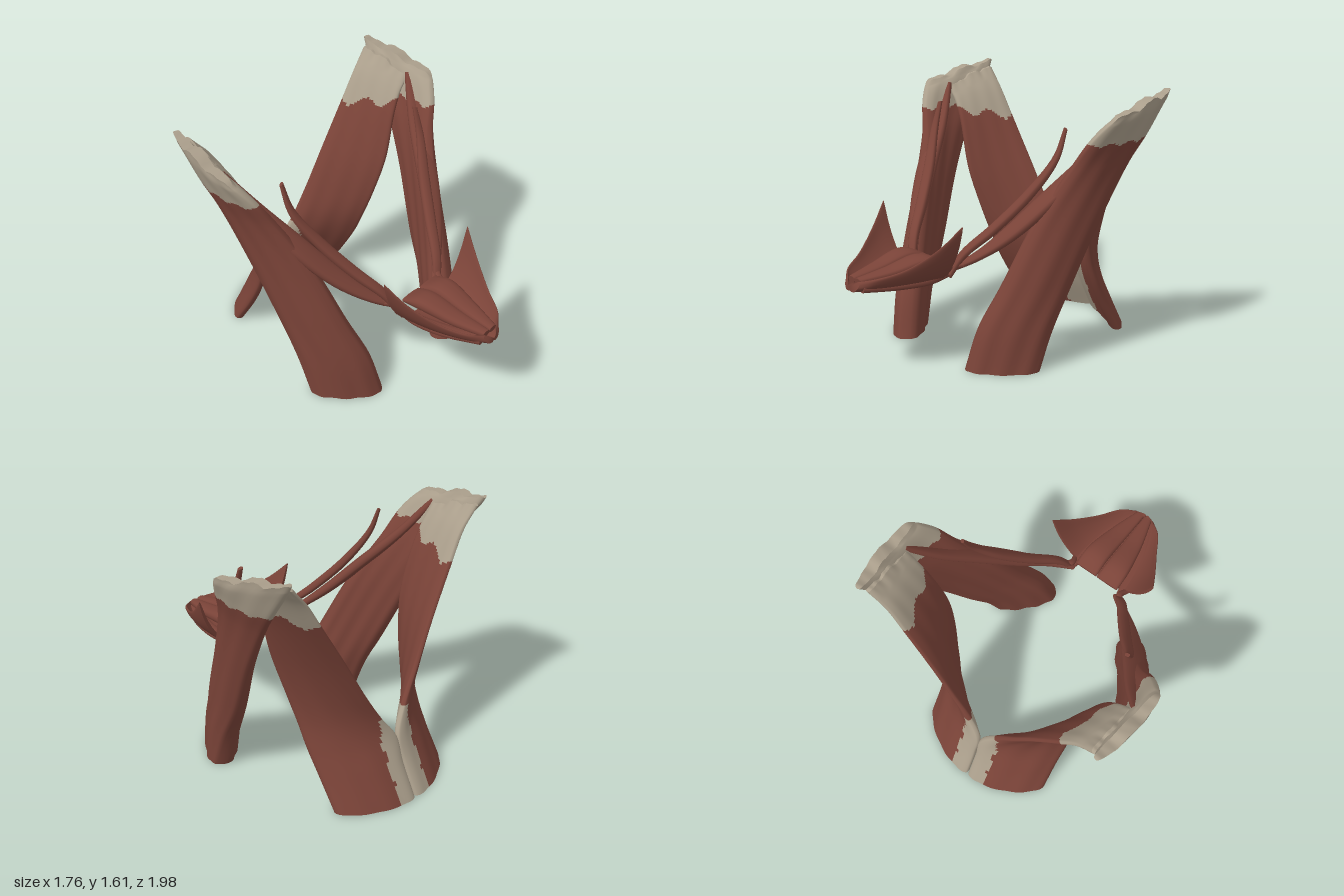
import * as THREE from 'three';

const muscle = new THREE.MeshStandardMaterial({ color: 0x7a4338 });
muscle.name = 'muscle red';
const tendon = new THREE.MeshStandardMaterial({ color: 0xaa9e8b });
tendon.name = 'tendon tan';
const materials = [muscle, tendon];
const UP = new THREE.Vector3(0, 1, 0);
const FORWARD = new THREE.Vector3(0, 0, 1);

// Lofts a flattened muscle through sections [edgeA, middle, edgeB, thickness].
function loft(sections, { axis = null, rows = 40, cols = 32, pick = () => 0, caps = [0, 0], ragged = 0 } = {}) {
  const curves = [0, 1, 2].map(k => new THREE.CatmullRomCurve3(sections.map(s => new THREE.Vector3(...s[k]))));
  const thick = new THREE.CatmullRomCurve3(sections.map((s, i) => new THREE.Vector3(s[3], i, 0)));
  const pos = [];
  const faces = [[], []];
  const rings = [];
  for (let i = 0; i <= rows; i++) {
    const v = i / rows;
    const [A, M, B] = curves.map(c => c.getPoint(v));
    const dir = axis || curves[1].getTangent(v);
    const half = thick.getPoint(v).x / 2;
    const ring = [];
    for (let j = 0; j < cols; j++) {
      const a = (j / cols) * Math.PI * 2;
      const u = (1 - Math.cos(a)) / 2;
      // Parabola through both edges and the middle, and its tangent
      const p = new THREE.Vector3()
        .addScaledVector(A, (1 - u) * (1 - 2 * u))
        .addScaledVector(M, 4 * u * (1 - u))
        .addScaledVector(B, u * (2 * u - 1));
      const t = new THREE.Vector3()
        .addScaledVector(A, 4 * u - 3)
        .addScaledVector(M, 4 - 8 * u)
        .addScaledVector(B, 4 * u - 1);
      const n = t.cross(dir).normalize();
      const s = Math.sin(a);
      const groove = 1 + 0.05 * Math.sin(a * 9 + v * 2);
      p.addScaledVector(n, half * groove * Math.sign(s) * Math.pow(Math.abs(s), 0.65));
      p.y += ragged * Math.max(0, (v - 0.93) / 0.07) * (Math.sin(u * 15) + 0.5 * Math.sin(u * 34));
      ring.push(p);
      pos.push(p.x, p.y, p.z);
    }
    rings.push(ring);
  }
  for (let i = 0; i < rows; i++) {
    for (let j = 0; j < cols; j++) {
      const k = (j + 1) % cols;
      const a = i * cols + j, b = i * cols + k, c = b + cols, d = a + cols;
      const mid = rings[i][j].clone().add(rings[i + 1][k]).multiplyScalar(0.5);
      faces[pick(mid)].push(a, b, c, a, c, d);
    }
  }
  // End caps have their own vertices so the rims stay sharp
  [0, rows].forEach((row, e) => {
    const base = pos.length / 3;
    rings[row].forEach(p => pos.push(p.x, p.y, p.z));
    for (let j = 0; j < cols / 2; j++) {
      const a = base + j, b = base + j + 1;
      const c = base + (cols - j - 1) % cols, d = base + (cols - j) % cols;
      if (e) faces[caps[1]].push(a, b, c, a, c, d);
      else faces[caps[0]].push(a, c, b, a, d, c);
    }
  });
  const geo = new THREE.BufferGeometry();
  geo.setAttribute('position', new THREE.Float32BufferAttribute(pos, 3));
  geo.setIndex([...faces[0], ...faces[1]]);
  geo.addGroup(0, faces[0].length, 0);
  geo.addGroup(faces[0].length, faces[1].length, 1);
  geo.computeVertexNormals();
  return geo;
}

// Flat strand along a path of [x, y, z, halfWidth, thickness], widened along dir
function strand(path, dir) {
  const w = new THREE.Vector3(...dir).normalize();
  const sections = path.map(([x, y, z, h, t]) => {
    const p = new THREE.Vector3(x, y, z);
    return [p.clone().addScaledVector(w, -h).toArray(), [x, y, z], p.clone().addScaledVector(w, h).toArray(), t];
  });
  return loft(sections, { rows: 32, cols: 20 });
}

function mirror(geo) {
  const g = geo.clone().scale(-1, 1, 1);
  const idx = g.index.array;
  for (let i = 0; i < idx.length; i += 3) [idx[i + 1], idx[i + 2]] = [idx[i + 2], idx[i + 1]];
  g.computeVertexNormals();
  return g;
}

export function createModel() {
  const group = new THREE.Group();
  const addPair = (name, geo) => {
    [['left', geo], ['right', mirror(geo)]].forEach(([side, g]) => {
      const mesh = new THREE.Mesh(g, materials);
      mesh.name = side + name;
      group.add(mesh);
    });
  };

  // Thick side neck muscle with a tendon cap behind the ear
  addPair('SideNeckMuscle', loft([
    [[0.295, 0, 0.395], [0.45, 0, 0.24], [0.595, 0, 0.075], 0.2],
    [[0.34, 0.25, 0.335], [0.49, 0.25, 0.175], [0.6, 0.25, -0.015], 0.2],
    [[0.42, 0.5, 0.235], [0.55, 0.5, 0.07], [0.615, 0.5, -0.135], 0.18],
    [[0.535, 0.9, 0.07], [0.64, 0.9, -0.1], [0.68, 0.9, -0.31], 0.14],
    [[0.67, 1.2, -0.07], [0.725, 1.2, -0.25], [0.73, 1.2, -0.47], 0.11],
    [[0.76, 1.36, -0.13], [0.785, 1.36, -0.34], [0.765, 1.36, -0.58], 0.1],
    [[0.82, 1.45, -0.19], [0.82, 1.48, -0.42], [0.78, 1.52, -0.69], 0.1],
    [[0.85, 1.48, -0.22], [0.835, 1.56, -0.5], [0.795, 1.59, -0.74], 0.07],
  ], {
    axis: UP, rows: 110, cols: 48, caps: [0, 1], ragged: 0.012,
    pick: p => (p.y > 1.34 + 0.01 * Math.sin(p.z * 45) ? 1 : 0),
  }));

  // Broad back neck sheet, tendinous at the skull and along the midline
  addPair('BackNeckMuscle', loft([
    [[0.003, 0, -0.965], [0.25, 0, -0.88], [0.445, 0, -0.735], 0.1],
    [[0.003, 0.2, -0.865], [0.255, 0.2, -0.77], [0.445, 0.2, -0.605], 0.1],
    [[0.006, 0.36, -0.81], [0.265, 0.36, -0.69], [0.455, 0.36, -0.515], 0.09],
    [[0.095, 0.5, -0.77], [0.3, 0.5, -0.635], [0.465, 0.5, -0.455], 0.08],
    [[0.22, 0.7, -0.75], [0.38, 0.7, -0.58], [0.5, 0.7, -0.39], 0.07],
    [[0.36, 0.95, -0.73], [0.48, 0.95, -0.54], [0.56, 0.95, -0.34], 0.07],
    [[0.54, 1.25, -0.71], [0.61, 1.25, -0.53], [0.65, 1.25, -0.35], 0.07],
    [[0.65, 1.43, -0.7], [0.7, 1.42, -0.54], [0.72, 1.38, -0.36], 0.07],
    [[0.76, 1.55, -0.71], [0.785, 1.53, -0.55], [0.785, 1.45, -0.36], 0.06],
  ], {
    axis: UP, rows: 120, cols: 72, caps: [1, 1], ragged: 0.008,
    pick: p => (p.y > 1.28 + 0.18 * (p.z + 0.55) + 0.025 * Math.sin(p.z * 32) ||
      (p.y < 0.5 && p.x < 0.125 + 0.006 * Math.sin(p.y * 40)) ? 1 : 0),
  }));

  // Long strap from behind the ear to the throat bone
  addPair('RearJawStrap', strand([
    [0.8, 1.47, -0.36, 0.03, 0.04],
    [0.69, 1.24, -0.2, 0.055, 0.06],
    [0.57, 1.02, -0.01, 0.07, 0.07],
    [0.43, 0.81, 0.17, 0.06, 0.06],
    [0.3, 0.67, 0.31, 0.035, 0.04],
    [0.17, 0.58, 0.41, 0.02, 0.03],
  ], [0.8, -0.3, 0.4]));

  // Slender strap running inside it
  addPair('SlenderThroatStrap', strand([
    [0.575, 1.41, -0.12, 0.015, 0.02],
    [0.56, 1.24, -0.06, 0.025, 0.035],
    [0.465, 1.03, 0.06, 0.035, 0.05],
    [0.345, 0.83, 0.22, 0.035, 0.05],
    [0.24, 0.68, 0.36, 0.03, 0.04],
    [0.18, 0.55, 0.42, 0.025, 0.03],
  ], [0.8, -0.3, 0.4]));

  // Short slip that links the straps to the chin muscles
  addPair('ThroatSlip', strand([
    [0.25, 0.62, 0.37, 0.015, 0.025],
    [0.19, 0.6, 0.42, 0.02, 0.03],
    [0.2, 0.56, 0.48, 0.02, 0.03],
  ], [1, 0, 0.3]));

  // Front belly under the chin
  addPair('ChinStrap', strand([
    [0.18, 0.56, 0.43, 0.02, 0.03],
    [0.17, 0.55, 0.56, 0.04, 0.05],
    [0.13, 0.55, 0.75, 0.045, 0.05],
    [0.048, 0.555, 0.95, 0.046, 0.05],
  ], [1, 0, 0.2]));

  // Central pair above the floor of the mouth
  addPair('CentralChinMuscle', strand([
    [0.08, 0.62, 0.43, 0.078, 0.03],
    [0.08, 0.64, 0.55, 0.078, 0.08],
    [0.06, 0.61, 0.76, 0.058, 0.06],
    [0.03, 0.59, 0.96, 0.029, 0.04],
  ], [1, 0, 0]));

  // Thin floor of the mouth, rising to a pointed rear corner
  addPair('MouthFloor', loft([
    [[0, 0.53, 0.48], [0.23, 0.59, 0.48], [0.38, 0.9, 0.48], 0.025],
    [[0, 0.53, 0.62], [0.2, 0.575, 0.62], [0.315, 0.77, 0.61], 0.025],
    [[0, 0.535, 0.78], [0.145, 0.56, 0.78], [0.225, 0.665, 0.77], 0.025],
    [[0, 0.54, 0.92], [0.085, 0.56, 0.92], [0.14, 0.62, 0.91], 0.03],
    [[0, 0.55, 0.995], [0.035, 0.56, 0.99], [0.06, 0.595, 0.97], 0.04],
  ], { axis: FORWARD, rows: 30 }));

  return group;
}
